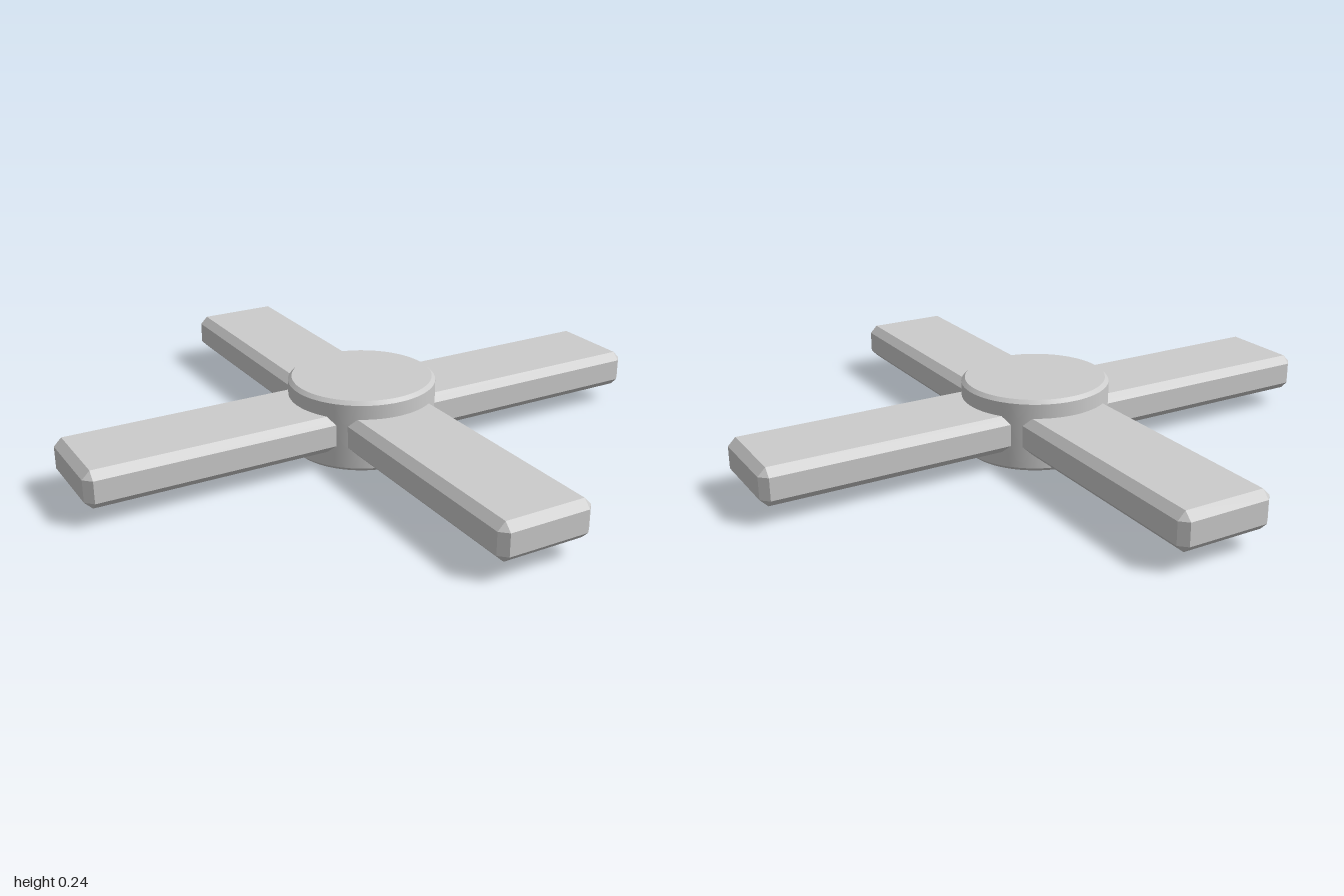
import * as THREE from 'three';
import { toCreasedNormals } from 'three/addons/utils/BufferGeometryUtils.js';
import { ConvexGeometry } from 'three/addons/geometries/ConvexGeometry.js';

const HEIGHT = 0.24;

// Box with every edge cut by the same chamfer: the hull of three inset points per corner
function chamferedBox(w, h, d, c) {
  const points = [];
  for (const sx of [-1, 1]) for (const sy of [-1, 1]) for (const sz of [-1, 1]) {
    const x = w / 2, y = h / 2, z = d / 2;
    points.push(
      new THREE.Vector3(sx * x, sy * (y - c), sz * (z - c)),
      new THREE.Vector3(sx * (x - c), sy * y, sz * (z - c)),
      new THREE.Vector3(sx * (x - c), sy * (y - c), sz * z)
    );
  }
  return new ConvexGeometry(points);
}

export function createModel() {
  const model = new THREE.Group();
  model.name = 'crossRotor';
  const grey = new THREE.MeshStandardMaterial({ color: 0xcccccc });

  // Round hub with a small bevel on both rims
  const r = 0.243, b = 0.012;
  const profile = [[0, 0], [r - b, 0], [r, b], [r, HEIGHT - b], [r - b, HEIGHT], [0, HEIGHT]]
    .map(([x, y]) => new THREE.Vector2(x, y));
  const hub = new THREE.Mesh(toCreasedNormals(new THREE.LatheGeometry(profile, 64), 0.5), grey);
  hub.name = 'hub';
  model.add(hub);

  // Two full-length chamfered bars crossing inside the hub give four blades
  const bladeGeometry = chamferedBox(2, 0.122, 0.316, 0.025);
  ['sideBlades', 'frontBackBlades'].forEach((name, i) => {
    const blades = new THREE.Mesh(bladeGeometry, grey);
    blades.name = name;
    blades.position.y = HEIGHT / 2;
    blades.rotation.y = i * Math.PI / 2;
    model.add(blades);
  });

  return model;
}
